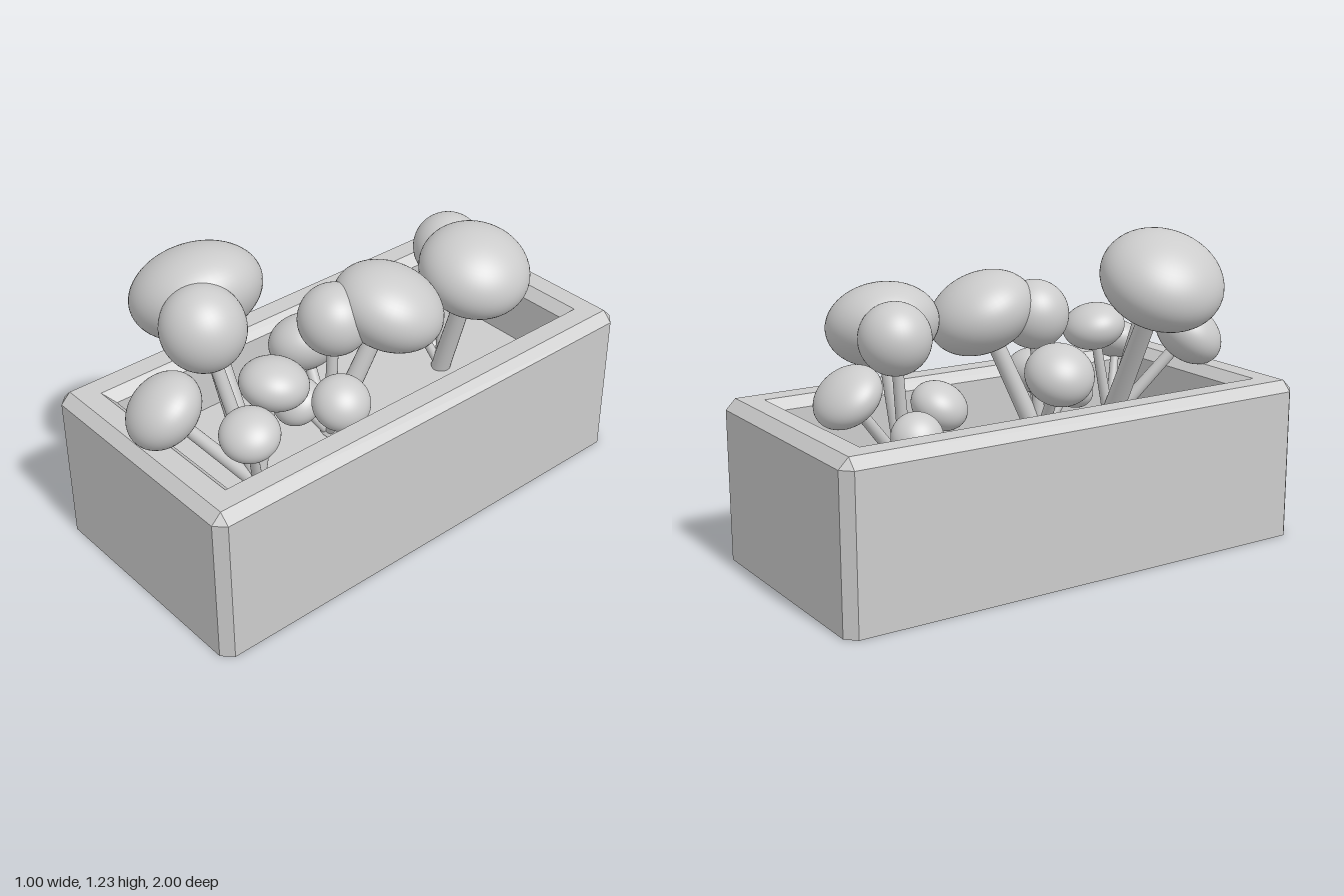
import * as THREE from 'three';

const material = new THREE.MeshStandardMaterial({ color: 0xcccccc });
const SOIL_Y = 0.38;

// Eight points of a rectangle with cut corners (cut 0 gives a plain rectangle)
function ring([hx, hz, cut, y]) {
  const points = [];
  for (const [sx, sz] of [[1, 1], [-1, 1], [-1, -1], [1, -1]]) {
    const pair = [
      new THREE.Vector3(sx * hx, y, sz * (hz - cut)),
      new THREE.Vector3(sx * (hx - cut), y, sz * hz),
    ];
    points.push(...(sx * sz > 0 ? pair : pair.reverse()));
  }
  return points;
}

// Flat-faced shell skinned through a list of rings, skipping collapsed triangles
function skin(sections) {
  const rings = sections.map(ring);
  const positions = [];
  const triangle = new THREE.Triangle();
  const add = (a, b, c) => {
    if (triangle.set(a, b, c).getArea() < 1e-7) return;
    for (const p of [a, b, c]) positions.push(p.x, p.y, p.z);
  };
  for (let i = 0; i < rings.length - 1; i++) {
    for (let j = 0; j < 8; j++) {
      const k = (j + 1) % 8;
      const a = rings[i][j], b = rings[i][k], c = rings[i + 1][k], d = rings[i + 1][j];
      add(a, d, c);
      add(a, c, b);
    }
  }
  const geometry = new THREE.BufferGeometry();
  geometry.setAttribute('position', new THREE.Float32BufferAttribute(positions, 3));
  geometry.computeVertexNormals();
  return geometry;
}

function part(name, geometry) {
  const mesh = new THREE.Mesh(geometry, material);
  mesh.name = name;
  return mesh;
}

// Stem leaning from the cluster's root to a flattened cap square to the stem
function mushroom(root, [x, y, z, radius, halfHeight]) {
  const group = new THREE.Group();
  group.name = 'mushroom';
  const top = new THREE.Vector3(x, y, z);
  const lean = top.clone().sub(root);
  const length = lean.length();
  const stemGeometry = new THREE.CylinderGeometry(radius * 0.15, radius * 0.18, length, 20);
  const stem = part('stem', stemGeometry.translate(0, length / 2, 0));
  const cap = part('cap', new THREE.SphereGeometry(1, 48, 32));
  cap.position.y = length;
  cap.scale.set(radius, halfHeight, radius);
  group.add(stem, cap);
  group.position.copy(root);
  group.quaternion.setFromUnitVectors(new THREE.Vector3(0, 1, 0), lean.normalize());
  return group;
}

// Each cap: x, y, z, radius, half height
const clusters = [
  {
    name: 'frontCluster', root: [0.17, 0.58],
    caps: [
      [-0.19, 1.035, 0.555, 0.247, 0.174],
      [0.02, 1.03, 0.68, 0.155, 0.16],
      [0.005, 0.755, 0.857, 0.152, 0.112],
      [0.175, 0.795, 0.497, 0.128, 0.093],
      [0.26, 0.705, 0.677, 0.11, 0.078],
    ],
  },
  {
    name: 'middleCluster', root: [0.1, 0.18],
    caps: [
      [0.19, 0.907, -0.035, 0.215, 0.155],
      [0.11, 0.893, 0.16, 0.137, 0.137],
      [-0.09, 0.69, 0.143, 0.137, 0.11],
      [0.08, 0.58, 0.315, 0.097, 0.075],
      [0.245, 0.63, 0.243, 0.11, 0.09],
    ],
  },
  {
    name: 'backCluster', root: [0.05, -0.46],
    caps: [
      [0.21, 0.905, -0.462, 0.217, 0.161],
      [0, 0.895, -0.525, 0.137, 0.137],
      [0, 0.705, -0.723, 0.137, 0.085],
      [-0.17, 0.565, -0.535, 0.097, 0.075],
      [-0.057, 0.635, -0.375, 0.11, 0.085],
    ],
  },
];

export function createModel() {
  const model = new THREE.Group();
  model.name = 'mushroomPlanter';

  // Trough: base, chamfered walls, bevelled rim and inner walls
  model.add(part('planter', skin([
    [0, 0, 0, 0],
    [0.5, 1, 0.04, 0],
    [0.5, 1, 0.04, 0.595],
    [0.46, 0.96, 0, 0.635],
    [0.377, 0.877, 0, 0.635],
    [0.337, 0.837, 0, 0.595],
    [0.337, 0.837, 0, SOIL_Y],
  ])));

  // Soil bed
  const soil = part('soil', new THREE.PlaneGeometry(0.674, 1.674).rotateX(-Math.PI / 2));
  soil.position.y = SOIL_Y;
  model.add(soil);

  // Mushrooms fanning out from three roots
  for (const { name, root, caps } of clusters) {
    const cluster = new THREE.Group();
    cluster.name = name;
    const origin = new THREE.Vector3(root[0], SOIL_Y, root[1]);
    for (const cap of caps) cluster.add(mushroom(origin, cap));
    model.add(cluster);
  }
  return model;
}
